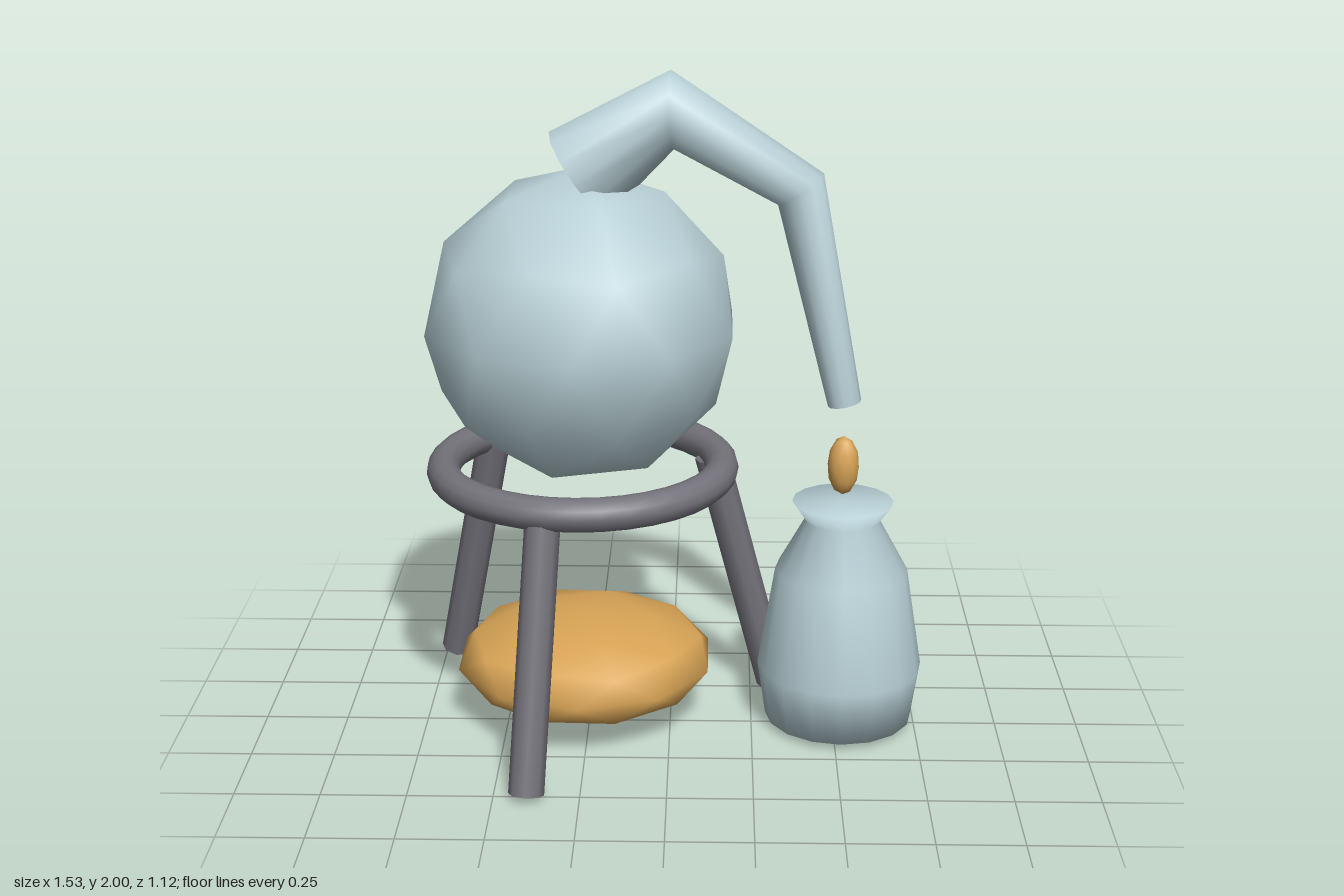
import * as THREE from 'three';

const mat = (name, color) => {
  const m = new THREE.MeshStandardMaterial({ color });
  m.name = name;
  return m;
};

// Coarse smooth sphere with a corner at each pole, scaled to the given radii
function icoBall(rx, ry, rz) {
  const g = new THREE.IcosahedronGeometry(1, 1);
  g.rotateZ(-Math.atan(2 / (1 + Math.sqrt(5))));
  return g.scale(rx, ry, rz);
}

// Closed tapered tube through stations [x, y, z, radius]
function taperedPipe(stations, sides) {
  const n = stations.length - 1;
  const pts = stations.map(s => new THREE.Vector3(s[0], s[1], s[2]));
  const frames = pts.map((p, i) => {
    const t = new THREE.Vector3();
    if (i > 0) t.add(p.clone().sub(pts[i - 1]).normalize());
    if (i < n) t.add(pts[i + 1].clone().sub(p).normalize());
    t.normalize();
    const b = new THREE.Vector3(0, 0, 1);
    b.addScaledVector(t, -b.dot(t)).normalize();
    return { a: t.clone().cross(b), b };
  });
  const g = new THREE.CylinderGeometry(1, 1, n, sides, n, false, Math.PI / 2);
  const pos = g.attributes.position;
  for (let k = 0; k < pos.count; k++) {
    const i = Math.round(pos.getY(k) + n / 2), r = stations[i][3];
    const v = pts[i].clone()
      .addScaledVector(frames[i].a, pos.getX(k) * r)
      .addScaledVector(frames[i].b, pos.getZ(k) * r);
    pos.setXYZ(k, v.x, v.y, v.z);
  }
  g.computeVertexNormals();
  return g;
}

// Straight rod between two points
function rod(top, bottom, radius, sides) {
  const d = top.clone().sub(bottom);
  const g = new THREE.CylinderGeometry(radius, radius, d.length(), sides);
  g.applyQuaternion(new THREE.Quaternion().setFromUnitVectors(
    new THREE.Vector3(0, 1, 0), d.normalize()));
  const c = top.clone().add(bottom).multiplyScalar(0.5);
  return g.translate(c.x, c.y, c.z);
}

export function createModel() {
  const glass = mat('pale blue glass', 0xb8d0d6);
  const iron = mat('dark grey iron', 0x74727a);
  const amber = mat('amber', 0xd8a456);
  const model = new THREE.Group();
  model.name = 'distillingApparatus';
  const add = (name, geometry, material, x = 0, y = 0, z = 0, parent = model) => {
    const m = new THREE.Mesh(geometry, material);
    m.name = name;
    m.position.set(x, y, z);
    parent.add(m);
    return m;
  };
  const cx = -0.265, cz = -0.09;

  // Round flask and its bent, narrowing spout
  add('flask', icoBall(0.47, 0.47, 0.47), glass, cx, 1.25, cz);
  add('spout', taperedPipe([
    [-0.265, 1.70, -0.09, 0.15],
    [0.005, 1.89, -0.08, 0.115],
    [0.375, 1.668, -0.045, 0.08],
    [0.515, 1.028, -0.03, 0.05],
  ], 12), glass);

  // Tripod: ring and three splayed legs
  const stand = new THREE.Group();
  stand.name = 'tripod';
  stand.position.set(cx, 0, cz);
  model.add(stand);
  add('tripodRing', new THREE.TorusGeometry(0.42, 0.05, 12, 36).rotateX(Math.PI / 2),
    iron, 0, 0.805, 0, stand);
  for (let i = 0; i < 3; i++) {
    const a = THREE.MathUtils.degToRad(17 + 120 * i);
    const at = (r, y) => new THREE.Vector3(r * Math.cos(a), y, -r * Math.sin(a));
    add('tripodLeg', rod(at(0.405, 0.8), at(0.615, 0.015), 0.052, 8), iron, 0, 0, 0, stand);
  }

  // Flattened fire under the flask
  add('fire', icoBall(0.4, 0.15, 0.4), amber, cx, 0.185, -0.085);

  // Receiving bottle with a flared lip, and the drop above it
  const profile = [[0, 0.02], [0.225, 0.02], [0.25, 0.19], [0.2, 0.5],
    [0.112, 0.66], [0.152, 0.718], [0, 0.718]].map(p => new THREE.Vector2(...p));
  add('bottle', new THREE.LatheGeometry(profile, 16), glass, 0.518, 0, -0.035);
  add('drop', icoBall(0.048, 0.092, 0.048), amber, 0.516, 0.833, -0.03);

  return model;
}
